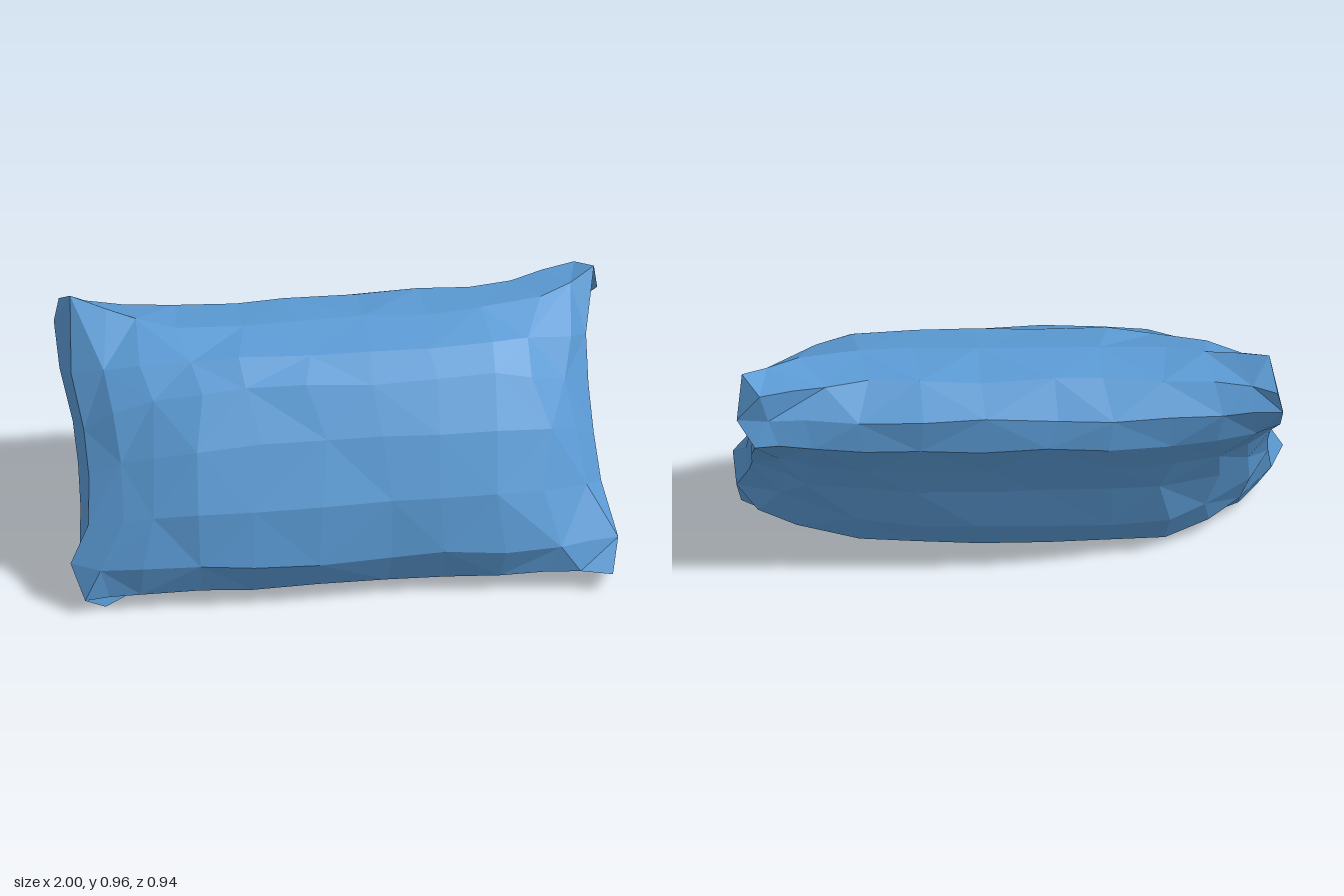
import * as THREE from 'three';

// Cross-section loops: up the front cloth (9 points), then down the back (7)
// Middle section, [z, y]
const MIDDLE = [
  [0.14, 0.015], [0.325, 0.075], [0.385, 0.22], [0.35, 0.44], [0.245, 0.65], [0.12, 0.81], [0.02, 0.875], [-0.13, 0.9], [-0.3, 0.88],
  [-0.42, 0.785], [-0.42, 0.66], [-0.32, 0.5], [-0.25, 0.36], [-0.195, 0.17], [-0.11, 0.04], [0, 0.01],
];
// Seamed short ends with pulled-out corners, [z, y, x]
const RIGHT_END = [
  [0.22, 0.01, -0.88], [0.25, 0.07, -0.96], [0.18, 0.19, -1], [0.15, 0.33, -0.93], [0.06, 0.47, -0.91], [-0.04, 0.61, -0.91], [-0.18, 0.76, -0.93], [-0.36, 0.97, -0.9], [-0.47, 0.88, -0.92],
  [-0.46, 0.79, -0.94], [-0.35, 0.66, -0.94], [-0.2, 0.53, -0.92], [-0.1, 0.42, -0.92], [0, 0.3, -0.93], [0.09, 0.16, -0.95], [0.14, 0.05, -0.9],
];
const LEFT_END = [
  [0.36, 0.035, 0.93], [0.47, 0.09, 0.91], [0.36, 0.17, 0.95], [0.19, 0.3, 0.92], [0.1, 0.45, 0.91], [0.0, 0.59, 0.91], [-0.1, 0.74, 0.92], [-0.24, 0.93, 0.975], [-0.33, 0.89, 0.92],
  [-0.31, 0.78, 1], [-0.36, 0.69, 0.94], [-0.13, 0.5, 0.93], [-0.04, 0.4, 0.92], [0.06, 0.3, 0.92], [0.22, 0.12, 0.95], [0.25, 0.03, 0.93],
];
const LOOP = MIDDLE.length;
const LAST = LOOP / 2;

// Stations along the pillow, closer together near the ends
const STATIONS = [-1, -0.9, -0.77, -0.58, -0.36, -0.12, 0.12, 0.36, 0.58, 0.77, 0.9, 1];

function seededRandom(seed) {
  return () => {
    seed = (seed * 16807) % 2147483647;
    return seed / 2147483647 - 0.5;
  };
}

function pillowGeometry() {
  const random = seededRandom(4271);
  const { lerp } = THREE.MathUtils;
  const positions = [];
  const index = [];

  for (const s of STATIONS) {
    const end = s < 0 ? RIGHT_END : LEFT_END;
    const a = Math.abs(s);
    const crumple = a === 1 ? 0 : 0.02;
    for (let j = 0; j < LOOP; j++) {
      const [ez, ey, ex] = end[j];
      const [mz, my] = MIDDLE[j];
      // Blend towards the end seam, with a slight yaw and crumpled cloth
      const fullness = 1 - Math.pow(a, j > 1 && j < 7 ? 5.5 : 4.5);
      const x = ex * a + random() * crumple * 3;
      const y = lerp(ey, my, fullness) + random() * crumple;
      const z = lerp(ez, mz + 0.07 * s, fullness) + random() * crumple;
      positions.push(x, Math.max(0, y), z);
    }
  }

  // Skin between stations, with alternating diagonals
  for (let i = 0; i < STATIONS.length - 1; i++) {
    for (let j = 0; j < LOOP; j++) {
      const n = (j + 1) % LOOP;
      const a = i * LOOP + j, b = a + LOOP, d = i * LOOP + n, c = d + LOOP;
      if ((i + j) % 2) index.push(a, b, c, a, c, d);
      else index.push(a, b, d, b, c, d);
    }
  }

  // Narrow end strips joining the front and back cloth
  for (const end of [0, STATIONS.length - 1]) {
    const base = end * LOOP;
    for (let k = 0; k < LAST; k++) {
      const f0 = base + k, f1 = f0 + 1;
      const b0 = base + (LOOP - k) % LOOP, b1 = base + LOOP - k - 1;
      const faces = [];
      if (b0 !== f0) faces.push([b0, f0, f1]);
      if (b1 !== f1) faces.push([b0, f1, b1]);
      for (const [p, q, r] of faces) index.push(...(end === 0 ? [p, q, r] : [p, r, q]));
    }
  }

  const geometry = new THREE.BufferGeometry();
  geometry.setAttribute('position', new THREE.Float32BufferAttribute(positions, 3));
  geometry.setIndex(index);
  geometry.computeVertexNormals();
  return geometry;
}

export function createModel() {
  const group = new THREE.Group();
  group.name = 'pillow';
  const cloth = new THREE.MeshStandardMaterial({ color: 0x5b9bd5, flatShading: true });
  const cushion = new THREE.Mesh(pillowGeometry(), cloth);
  cushion.name = 'cushion';
  group.add(cushion);
  return group;
}
